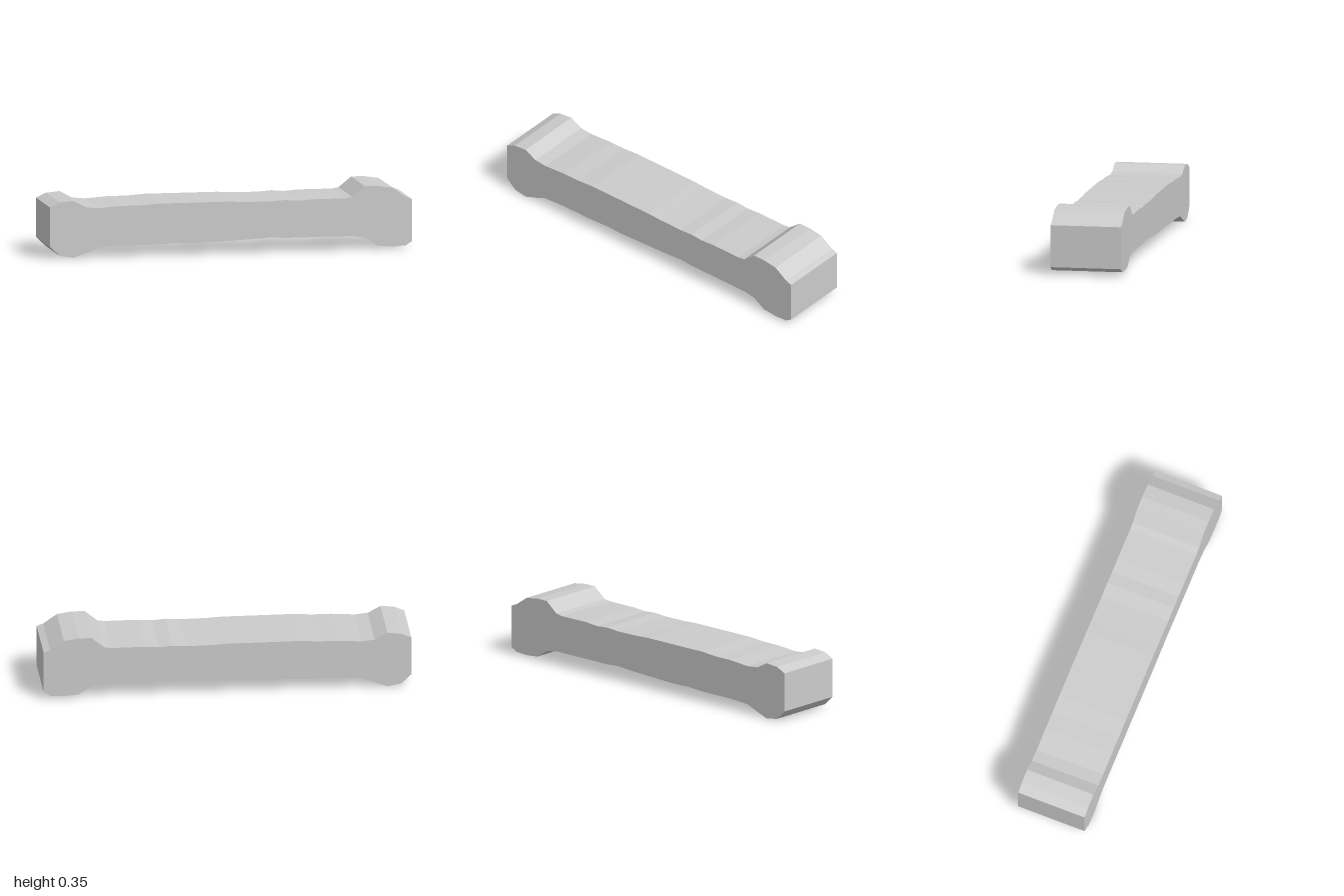
import * as THREE from 'three';

const DEPTH = 0.387;

// Side outline, listed left to right along the top and back along the bottom
const top = [
  [-1, 0.28], [-0.945, 0.305], [-0.87, 0.312], [-0.8, 0.275], [-0.73, 0.268],
  [-0.6, 0.277], [-0.5, 0.277], [-0.4, 0.284], [0, 0.284], [0.07, 0.28],
  [0.22, 0.278], [0.3, 0.284], [0.37, 0.278], [0.45, 0.284], [0.63, 0.284],
  [0.67, 0.29], [0.74, 0.347], [0.81, 0.347], [0.89, 0.335], [0.965, 0.283], [1, 0.27],
];
const bottom = [
  [1, 0.04], [0.965, 0.018], [0.89, 0.013], [0.81, 0.02], [0.74, 0.065],
  [0.67, 0.077], [0.3, 0.077], [0.22, 0.082], [0.15, 0.077], [0, 0.07],
  [-0.2, 0.063], [-0.3, 0.066], [-0.4, 0.06], [-0.6, 0.06], [-0.73, 0.053],
  [-0.8, 0.025], [-0.87, 0], [-0.945, 0.013], [-1, 0.065],
];

export function createModel() {
  const group = new THREE.Group();
  group.name = 'bone';

  // Flat-sided bar with a knobbly swelling at each end
  const outline = new THREE.Shape([...top, ...bottom].map(([x, y]) => new THREE.Vector2(x, y)));
  const geometry = new THREE.ExtrudeGeometry(outline, { depth: DEPTH, bevelEnabled: false });
  geometry.translate(0, 0, -DEPTH / 2);

  const material = new THREE.MeshStandardMaterial({ color: 0xcccccc, flatShading: true });
  const bar = new THREE.Mesh(geometry, material);
  bar.name = 'boneBar';
  group.add(bar);
  return group;
}
